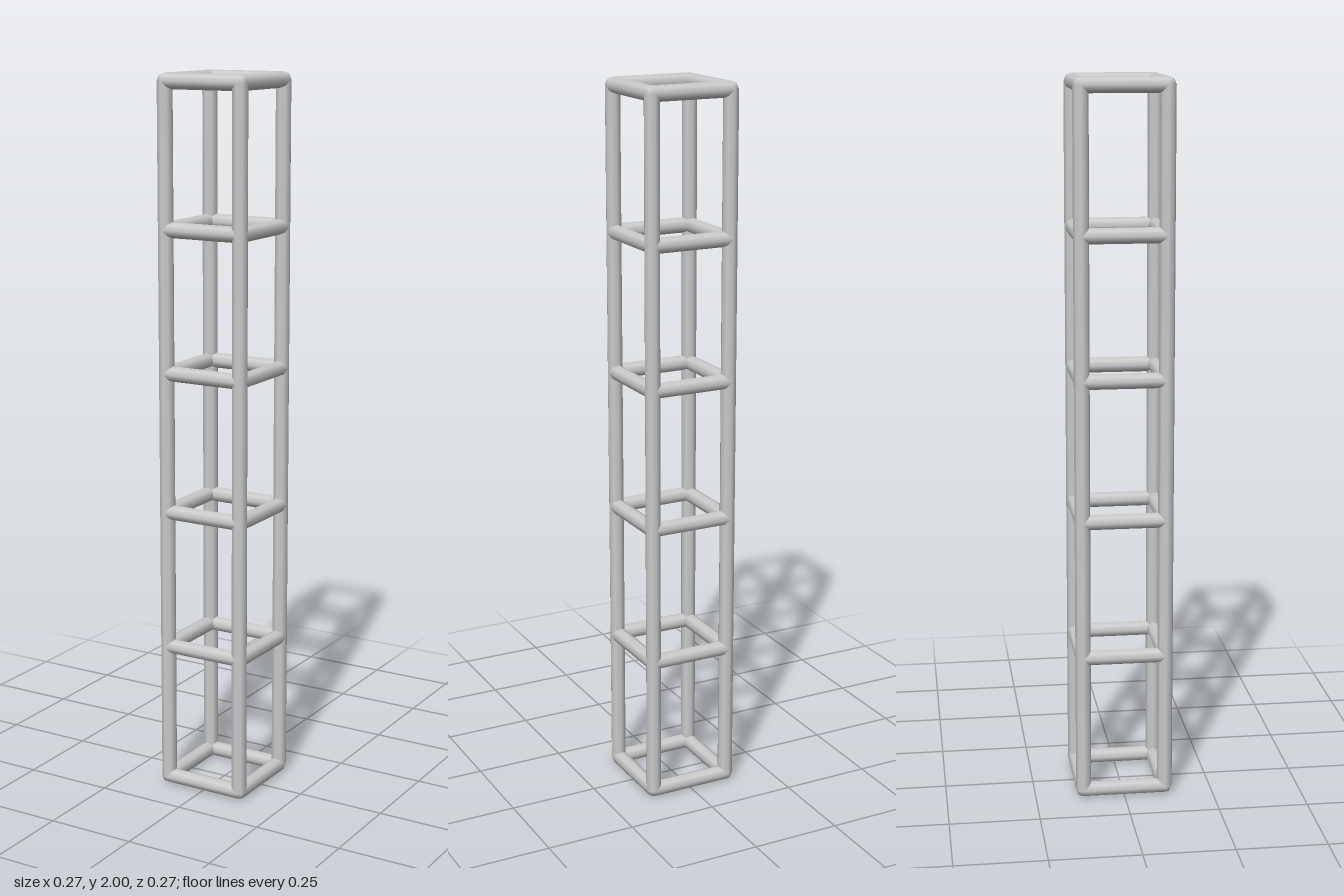
import * as THREE from 'three';

const R = 0.0215;        // bar radius
const HALF = 0.115;      // bar axis distance from centre
const BOTTOM = R, TOP = 2 - R;
const LEVELS = 6;
const SIDES = 8;

export function createModel() {
  const model = new THREE.Group();
  model.name = 'squareTruss';
  const material = new THREE.MeshStandardMaterial({ color: 0xcccccc });

  const add = (geometry, name, parent, x, y, z) => {
    const mesh = new THREE.Mesh(geometry, material);
    mesh.name = name;
    mesh.position.set(x, y, z);
    parent.add(mesh);
    return mesh;
  };

  const postGeometry = new THREE.CylinderGeometry(R, R, TOP - BOTTOM, SIDES);
  const rungGeometry = new THREE.CylinderGeometry(R, R, HALF * 2, SIDES);
  const jointGeometry = new THREE.SphereGeometry(R, SIDES, SIDES / 2);

  // Four upright posts with rounded corner joints at both ends
  for (const sx of [-1, 1]) {
    for (const sz of [-1, 1]) {
      const x = sx * HALF, z = sz * HALF;
      add(postGeometry, 'post', model, x, (TOP + BOTTOM) / 2, z);
      for (const y of [BOTTOM, TOP]) add(jointGeometry, 'cornerJoint', model, x, y, z);
    }
  }

  // Square frames of four rungs, evenly spaced up the posts
  for (let i = 0; i < LEVELS; i++) {
    const frame = new THREE.Group();
    frame.name = 'rungFrame';
    frame.position.y = BOTTOM + (TOP - BOTTOM) * i / (LEVELS - 1);
    for (const s of [-1, 1]) {
      add(rungGeometry, 'crossRung', frame, 0, 0, s * HALF).rotation.z = Math.PI / 2;
      add(rungGeometry, 'sideRung', frame, s * HALF, 0, 0).rotation.x = Math.PI / 2;
    }
    model.add(frame);
  }
  return model;
}
